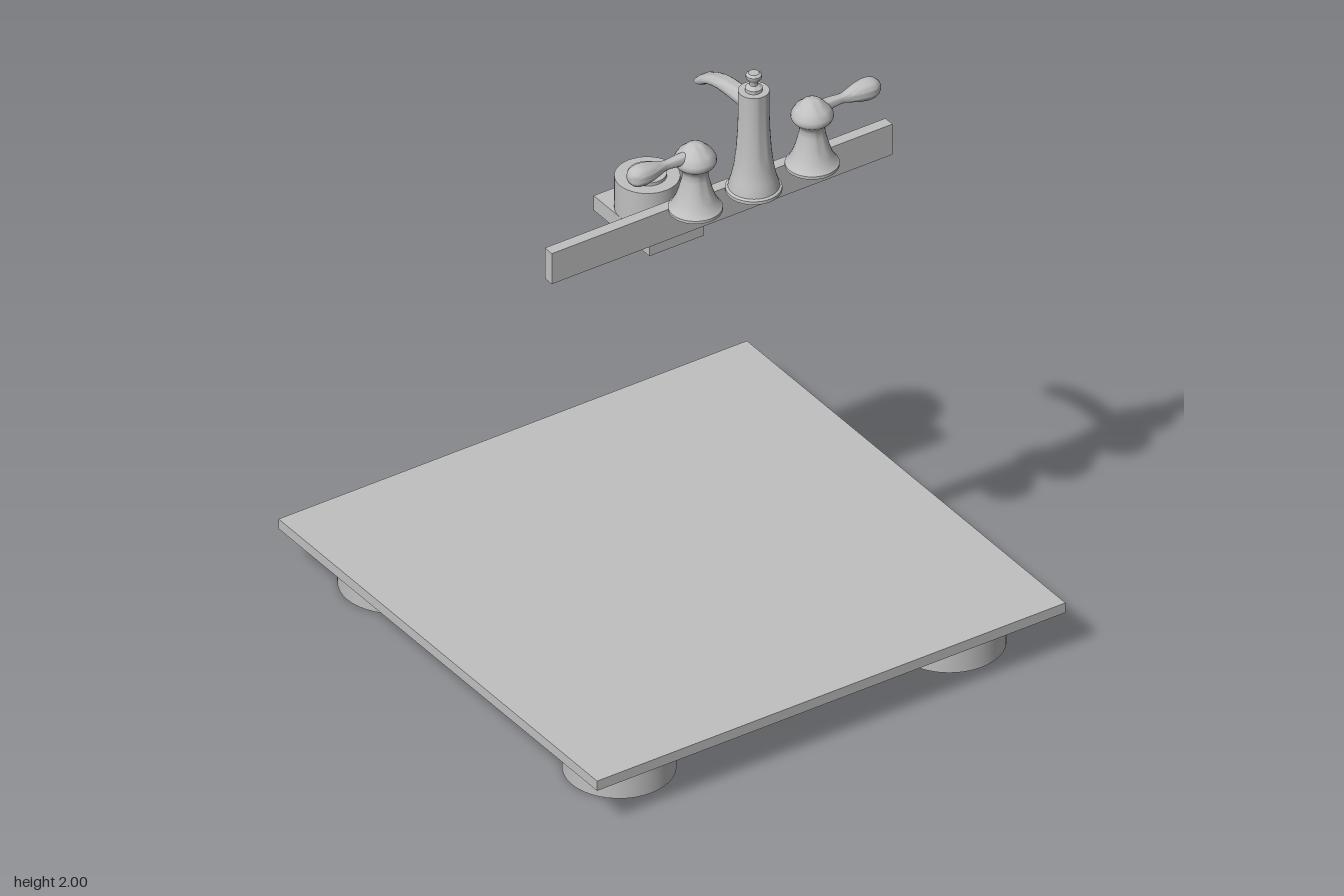
import * as THREE from 'three';
import { toCreasedNormals } from 'three/addons/utils/BufferGeometryUtils.js';

const grey = new THREE.MeshStandardMaterial({ color: 0xc0c0c0 });
grey.name = 'satin grey';

function add(parent, name, geometry, x, y, z) {
  const mesh = new THREE.Mesh(geometry, grey);
  mesh.name = name;
  mesh.position.set(x, y, z);
  parent.add(mesh);
  return mesh;
}

// Turned part from [radius, height] pairs, with hard rims kept sharp
function turned(profile) {
  const pts = profile.map(([r, y]) => new THREE.Vector2(r, y));
  return toCreasedNormals(new THREE.LatheGeometry(pts, 32), 0.7);
}

// Spout lofted through sections of [top z, top y, bottom z, bottom y, half width]
function spoutGeometry(sections, n = 20) {
  const pos = [], idx = [];
  for (const [tz, ty, bz, by, w] of sections) {
    for (let j = 0; j < n; j++) {
      const a = (j / n) * Math.PI * 2, c = Math.cos(a) / 2;
      pos.push(Math.sin(a) * w, (ty + by) / 2 + c * (ty - by), (tz + bz) / 2 + c * (tz - bz));
    }
  }
  for (let i = 0; i < sections.length - 1; i++) {
    for (let j = 0; j < n; j++) {
      const a = i * n + j, b = i * n + (j + 1) % n;
      idx.push(a, b, a + n, b, b + n, a + n);
    }
  }
  // outlet face
  const last = (sections.length - 1) * n;
  for (let j = 1; j < n - 1; j++) idx.push(last, last + j, last + j + 1);
  const g = new THREE.BufferGeometry();
  g.setAttribute('position', new THREE.Float32BufferAttribute(pos, 3));
  g.setIndex(idx);
  return toCreasedNormals(g, 0.8);
}

export function createModel() {
  const model = new THREE.Group();
  model.name = 'tapDisplay';

  // Square base plate on four round feet
  add(model, 'basePlate', new THREE.BoxGeometry(1.54, 0.032, 1.54), 0, 0.149, 0);
  for (const x of [-0.543, 0.543]) {
    for (const z of [-0.543, 0.543]) {
      add(model, 'foot', new THREE.CylinderGeometry(0.156, 0.156, 0.133, 40), x, 0.0665, z);
    }
  }

  // Small block carrying a stepped round knob
  add(model, 'knobBlock', new THREE.BoxGeometry(0.18, 0.048, 0.27), -0.01, 1.248, -0.097);
  add(model, 'knob', new THREE.CylinderGeometry(0.09, 0.09, 0.104, 40), -0.01, 1.324, -0.105);
  add(model, 'knobCap', new THREE.CylinderGeometry(0.054, 0.054, 0.01, 40), -0.01, 1.381, -0.105);

  // Long rail below the taps
  add(model, 'rail', new THREE.BoxGeometry(1.12, 0.1, 0.034), -0.08, 1.567, 0.343);

  // Central column with finial
  const column = turned([
    [0, 1.618], [0.078, 1.618], [0.078, 1.628], [0.071, 1.632], [0.07, 1.64],
    [0.062, 1.665], [0.055, 1.7], [0.049, 1.75], [0.045, 1.81], [0.043, 1.87],
    [0.043, 1.943], [0.024, 1.943], [0.024, 1.953], [0.012, 1.962], [0.012, 1.972],
    [0.018, 1.98], [0.022, 1.985], [0.022, 1.994], [0.015, 2], [0, 2]
  ]);
  add(model, 'column', column, -0.01, 0, 0.41);

  // Curved spout with a level outlet
  const spout = spoutGeometry([
    [0.4, 1.918, 0.4, 1.867, 0.026], [0.34, 1.918, 0.34, 1.867, 0.026],
    [0.285, 1.912, 0.293, 1.867, 0.026], [0.25, 1.904, 0.263, 1.866, 0.026],
    [0.215, 1.891, 0.235, 1.861, 0.026], [0.18, 1.872, 0.21, 1.854, 0.026],
    [0.155, 1.852, 0.19, 1.842, 0.025], [0.137, 1.834, 0.18, 1.834, 0.022]
  ]);
  add(model, 'spout', spout, -0.01, 0, 0);

  // Mirrored pair of handles: domed hub and teardrop lever
  const hub = turned([
    [0, 1.618], [0.066, 1.62], [0.075, 1.626], [0.075, 1.635], [0.068, 1.642],
    [0.056, 1.665], [0.046, 1.695], [0.037, 1.73], [0.035, 1.748], [0.041, 1.763],
    [0.054, 1.775], [0.059, 1.785], [0.058, 1.796], [0.047, 1.815], [0.033, 1.826],
    [0.026, 1.834], [0.016, 1.84], [0, 1.842]
  ]);
  const lever = turned([
    [0.018, 0], [0.017, 0.06], [0.014, 0.09], [0.015, 0.105], [0.021, 0.125],
    [0.028, 0.15], [0.032, 0.175], [0.031, 0.192], [0.026, 0.206], [0.016, 0.216], [0, 0.22]
  ]);
  for (const side of [-1, 1]) {
    const handle = new THREE.Group();
    handle.name = side > 0 ? 'leftHandle' : 'rightHandle';
    handle.position.set(-0.01 + side * 0.192, 0, 0.41);
    add(handle, 'hub', hub, 0, 0, 0);
    add(handle, 'lever', lever, 0, 1.806, 0).rotation.z = -side * Math.PI / 2;
    model.add(handle);
  }
  return model;
}
